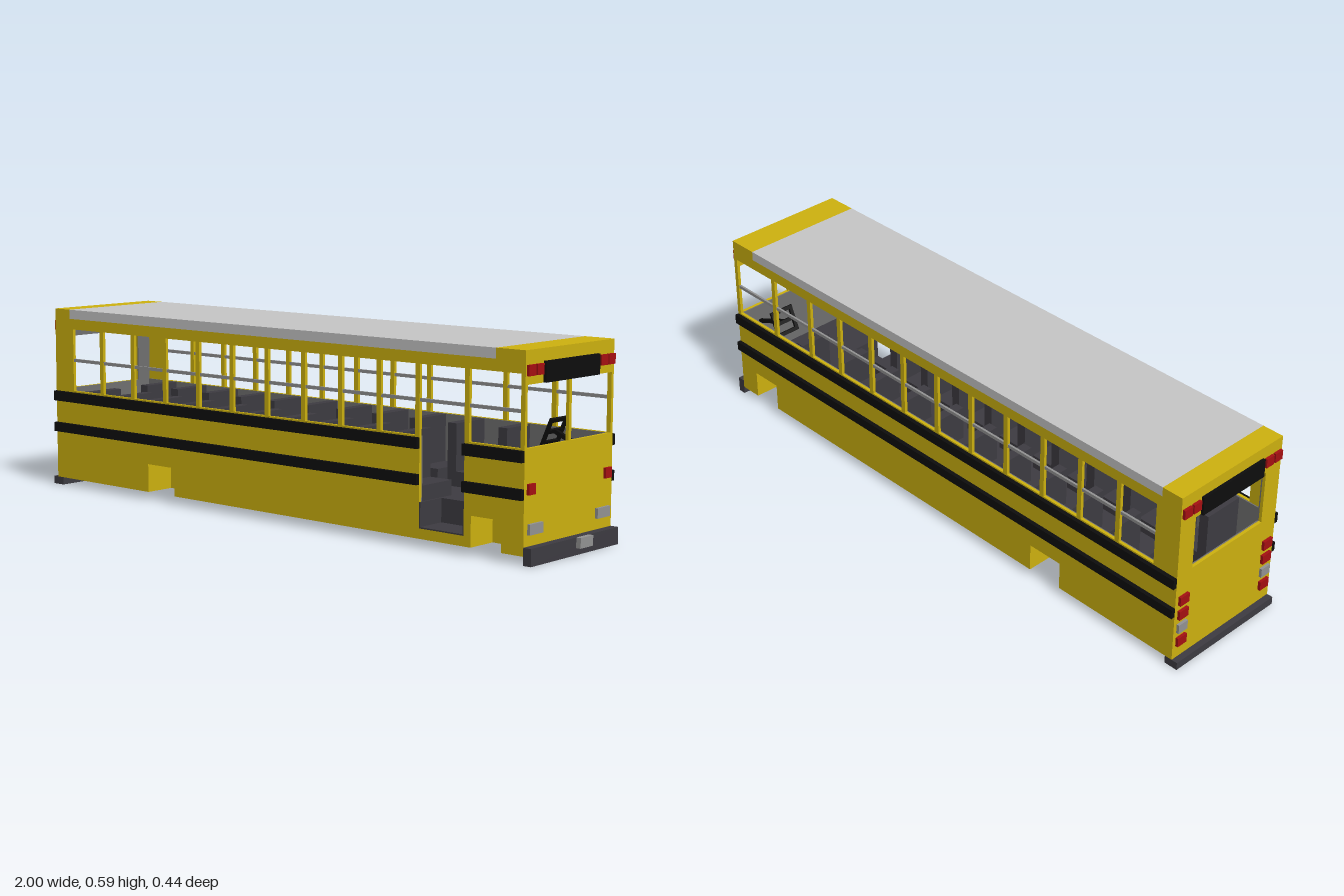
import * as THREE from 'three';

const mat = (name, color) => {
  const m = new THREE.MeshStandardMaterial({ color });
  m.name = name;
  return m;
};

export function createModel() {
  const bus = new THREE.Group();
  bus.name = 'bus';
  const yellow = mat('body yellow', 0xcdb10f);
  const roofGrey = mat('roof grey', 0xc6c6c6);
  const black = mat('trim black', 0x0d0d0d);
  const dark = mat('dark grey', 0x3d3b41);
  const liner = mat('interior grey', 0x707070);
  const metal = mat('metal grey', 0x929292);
  const red = mat('lamp red', 0xa51012);

  // Box given by its limits on each axis
  const box = (name, m, x0, x1, y0, y1, z0, z1, parent = bus) => {
    const mesh = new THREE.Mesh(new THREE.BoxGeometry(x1 - x0, y1 - y0, z1 - z0), m);
    mesh.position.set((x0 + x1) / 2, (y0 + y1) / 2, (z0 + z1) / 2);
    mesh.name = name;
    parent.add(mesh);
    return mesh;
  };
  // Same box on the side s = +1 or -1 of the centre line
  const sideBox = (name, m, s, x0, x1, y0, y1, z0, z1) =>
    box(name, m, x0, x1, y0, y1, Math.min(s * z0, s * z1), Math.max(s * z0, s * z1));

  const back = -0.98, front = 0.94, W = 0.209, inner = 0.199;
  const doorA = 0.575, doorB = 0.735, floorY = 0.13, sillY = 0.32, headY = 0.523;

  // Lower body: centre block plus side blocks with wheel wells and a step well
  box('underbody', yellow, back, front, 0.025, 0.125, -0.109, 0.109);
  for (const s of [1, -1]) {
    const pts = [[back, 0.025], [-0.54, 0.025], [-0.54, 0.115], [-0.42, 0.115], [-0.42, 0.025],
      [0.76, 0.025], [0.76, 0.115], [0.865, 0.115], [0.865, 0.025], [front, 0.025], [front, 0.125]];
    if (s > 0) pts.push([doorB, 0.125], [doorB, 0.055], [doorA, 0.055], [doorA, 0.125]);
    pts.push([back, 0.125]);
    const shape = new THREE.Shape(pts.map(p => new THREE.Vector2(...p)));
    const skirt = new THREE.Mesh(new THREE.ExtrudeGeometry(shape, { depth: 0.1, bevelEnabled: false }), yellow);
    skirt.position.z = s > 0 ? 0.109 : -W;
    skirt.name = 'lowerSkirt';
    bus.add(skirt);
  }

  // Floor and entrance step
  box('floor', dark, back + 0.01, front - 0.01, 0.125, floorY, -inner, 0.109);
  box('floorRear', dark, back + 0.01, doorA, 0.125, floorY, 0.109, inner);
  box('floorFront', dark, doorB, front - 0.01, 0.125, floorY, 0.109, inner);
  box('stepRiser', dark, doorA, doorB, 0.055, floorY, 0.109, 0.113);
  box('stepTread', dark, doorA, doorB, 0.055, 0.059, 0.113, W);
  for (const x of [doorA, doorB - 0.004]) box('stepSide', dark, x, x + 0.004, 0.059, floorY, 0.113, W - 0.001);

  // Side walls, pillars, rails and black bands
  const pillars = [-0.755, -0.608, -0.461, -0.312, -0.165, -0.018, 0.131, 0.277, 0.424, 0.567, 0.743];
  for (const s of [1, -1]) {
    const spans = s > 0 ? [[back, doorA], [doorB, front]] : [[back, front]];
    for (const [a, b] of spans) {
      sideBox('sidePanel', yellow, s, a, b, 0.125, sillY, inner, W);
      sideBox('sideLining', liner, s, Math.max(a, back + 0.01), Math.min(b, front - 0.01), floorY, sillY - 0.001, inner - 0.004, inner);
      for (const [y0, y1] of [[0.283, 0.315], [0.18, 0.21]]) sideBox('blackBand', black, s, a, b, y0, y1, W, 0.222);
    }
    sideBox('windowHeader', yellow, s, back, front, headY, 0.557, inner, W);
    sideBox('rearCorner', yellow, s, back, -0.893, sillY, headY, inner, W);
    sideBox('frontCorner', yellow, s, 0.926, front, sillY, headY, inner, W);
    for (const x of pillars) sideBox('windowPillar', yellow, s, x - 0.008, x + 0.008, sillY, headY, inner, W);
    sideBox('windowRail', metal, s, -0.893, 0.926, 0.416, 0.426, 0.2, 0.207);
  }

  // Roof
  box('roofPanel', roofGrey, -0.91, 0.84, 0.557, 0.587, -W, W);
  box('roofRear', yellow, back, -0.91, 0.557, 0.587, -W, W);
  box('roofFront', yellow, 0.84, front, 0.557, 0.587, -W, W);
  box('ceiling', liner, back + 0.014, front - 0.01, 0.553, 0.557, -inner, inner);

  // Front wall with split windscreen
  const fx = front - 0.01;
  box('frontPanel', yellow, fx, front, 0.125, sillY, -inner, inner);
  box('frontHeader', yellow, fx, front, 0.493, 0.557, -inner, inner);
  box('windscreenPost', yellow, fx, front, sillY, 0.493, -0.006, 0.006);
  box('frontLining', liner, fx - 0.004, fx, floorY, sillY - 0.001, -inner, inner);

  // Rear wall with window, lined inside
  const rearWall = (name, m, x0, x1) => {
    box(name, m, x0, x1, 0.125, sillY, -inner, inner);
    box(name, m, x0, x1, 0.493, 0.557, -inner, inner);
    for (const s of [1, -1]) sideBox(name, m, s, x0, x1, sillY, 0.493, 0.147, inner);
  };
  rearWall('rearPanel', yellow, back, back + 0.01);
  rearWall('rearLining', liner, back + 0.01, back + 0.014);

  // Signs, lamps, bumpers and plate
  box('frontSign', black, front, front + 0.009, 0.493, 0.552, -0.128, 0.128);
  box('rearSign', black, back - 0.009, back, 0.493, 0.552, -0.128, 0.128);
  for (const s of [1, -1]) {
    for (const z of [0.136, 0.173]) {
      sideBox('frontWarningLamp', red, s, front, front + 0.009, 0.517, 0.547, z, z + 0.031);
      sideBox('rearWarningLamp', red, s, back - 0.009, back, 0.517, 0.547, z, z + 0.031);
    }
    sideBox('frontIndicator', red, s, front, front + 0.009, 0.193, 0.223, 0.167, 0.197);
    sideBox('headlight', metal, s, front, front + 0.009, 0.082, 0.112, 0.13, 0.192);
    for (const [y, m] of [[0.23, red], [0.18, red], [0.132, metal], [0.084, red]])
      sideBox('tailLamp', m, s, back - 0.009, back, y - 0.015, y + 0.015, 0.16, 0.197);
  }
  box('frontBumper', dark, front, 0.966, 0, 0.05, -W, W);
  box('rearBumper', dark, -1, -0.955, 0, 0.025, -W, W);
  box('chassisBeam', dark, -0.955, front, 0.005, 0.025, -0.03, 0.03);
  box('numberPlate', metal, 0.985, 1, 0.027, 0.057, -0.035, 0.025);

  // L-shaped seats
  const seat = (name, x, z0, z1, length) => {
    const g = new THREE.Group();
    g.name = name;
    box('seatBack', dark, x, x + 0.032, floorY, 0.318, z0, z1, g);
    box('seatCushion', dark, x + 0.032, x + length, floorY, 0.175, z0, z1, g);
    bus.add(g);
  };
  for (let i = 0; i < 10; i++) {
    const x = -0.86 + i * 0.147;
    seat('leftSeat', x, 0.06, 0.194, 0.11);
    seat('rightSeat', x, -0.194, -0.06, 0.11);
  }
  seat('driverSeat', 0.633, -0.19, -0.08, 0.11);

  // Tilted steering frame on a column
  const steering = new THREE.Group();
  steering.name = 'steeringWheel';
  for (const s of [1, -1]) {
    box('steeringRim', black, -0.004, 0.004, s * 0.037 - 0.006, s * 0.037 + 0.006, -0.043, 0.043, steering);
    box('steeringRim', black, -0.004, 0.004, -0.031, 0.031, s * 0.037 - 0.006, s * 0.037 + 0.006, steering);
  }
  box('steeringSpoke', black, -0.004, 0.004, -0.006, 0.006, -0.031, 0.031, steering);
  box('steeringColumn', black, 0.004, 0.14, -0.006, 0.006, -0.006, 0.006, steering);
  steering.position.set(0.792, 0.318, -0.135);
  steering.rotation.z = -0.4;
  bus.add(steering);

  // Rear-view mirror under the ceiling
  const mirror = box('rearViewMirror', dark, 0.817, 0.832, 0.498, 0.525, -0.05, 0.05);
  mirror.rotation.z = 0.2;
  box('mirrorArm', dark, 0.823, 0.829, 0.52, 0.553, -0.004, 0.004);

  return bus;
}
